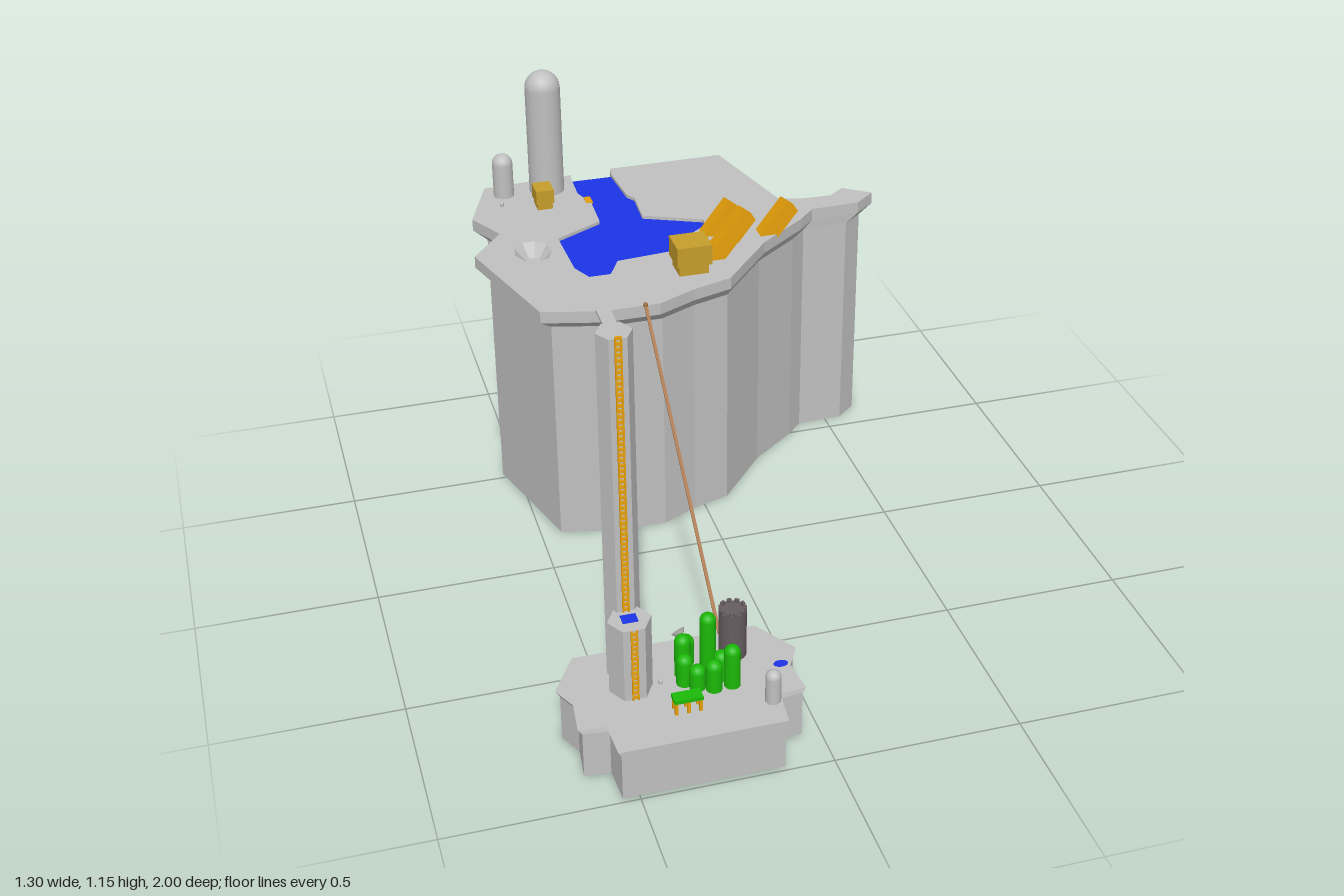
import * as THREE from 'three';

const mat = (name, color) => Object.assign(new THREE.MeshStandardMaterial({ color }), { name });

export function createModel() {
  const model = new THREE.Group();
  const stone = mat('stone grey', 0xc0c0c0);
  const blue = mat('water blue', 0x1c35ea);
  const gold = mat('gold', 0xe8a00a);
  const ochre = mat('ochre', 0xc69e2c);
  const green = mat('cactus green', 0x1cba08);
  const dark = mat('dark stone', 0x665d61);
  const brown = mat('rope brown', 0xa06a35);

  const add = (name, geo, material, x = 0, y = 0, z = 0, parent = model) => {
    const m = new THREE.Mesh(geo, material);
    m.name = name;
    m.position.set(x, y, z);
    parent.add(m);
    return m;
  };
  const box = (name, w, h, d, material, x, y, z, parent) =>
    add(name, new THREE.BoxGeometry(w, h, d), material, x, y, z, parent);
  const flat = (geo) => {
    const g = geo.toNonIndexed();
    g.computeVertexNormals();
    return g;
  };

  // Horizontal slab from an [x, z] outline; the underside may be scaled about a centre
  const slab = (name, pts, y0, y1, material, { taper = 1, centre = [0, 0], hole } = {}) => {
    const v = (p) => p.map(([x, z]) => new THREE.Vector2(x, -z));
    const shape = new THREE.Shape(v(pts));
    if (hole) shape.holes.push(new THREE.Path(v(hole)));
    const g = new THREE.ExtrudeGeometry(shape, { depth: y1 - y0, bevelEnabled: false });
    g.rotateX(-Math.PI / 2);
    const p = g.attributes.position;
    for (let i = 0; i < p.count; i++) {
      if (p.getY(i) < (y1 - y0) / 2) {
        p.setX(i, centre[0] + (p.getX(i) - centre[0]) * taper);
        p.setZ(i, centre[1] + (p.getZ(i) - centre[1]) * taper);
      }
    }
    g.computeVertexNormals();
    return add(name, g, material, 0, y0, 0);
  };
  const scaled = (pts, s, c) => pts.map(([x, z]) => [c[0] + (x - c[0]) * s, c[1] + (z - c[1]) * s]);

  // Round-topped column
  const column = (name, x, z, r, y0, y1, material) => {
    const pts = [new THREE.Vector2(r, 0)];
    for (let i = 0; i <= 8; i++) {
      const a = (i / 8) * Math.PI / 2;
      pts.push(new THREE.Vector2(i === 8 ? 0 : r * Math.cos(a), y1 - y0 - r + r * Math.sin(a)));
    }
    return add(name, new THREE.LatheGeometry(pts, 20), material, x, y0, z);
  };

  // Plateau with a lake and its outflow cut into the top
  const edge = [[0.28, -1], [0.365, -0.645], [0.43, -0.624], [0.524, -0.62], [0.573, -0.66], [0.65, -0.603],
    [0.587, -0.55], [0.44, -0.545], [0.386, -0.49], [0.238, -0.376], [0.08, -0.19], [-0.037, -0.153],
    [-0.148, -0.1], [-0.31, -0.1], [-0.476, -0.143], [-0.587, -0.52], [-0.49, -0.645], [-0.55, -0.76],
    [-0.476, -0.963], [-0.2, -0.984]];
  const lake = [[-0.206, -0.957], [-0.21, -0.85], [-0.185, -0.77], [-0.19, -0.645], [-0.333, -0.566],
    [-0.328, -0.37], [-0.3, -0.307], [-0.238, -0.307], [-0.2, -0.38], [-0.03, -0.397], [0.03, -0.475],
    [0.106, -0.535], [0.106, -0.57], [-0.06, -0.645], [-0.053, -0.77], [-0.07, -0.8], [-0.08, -0.957]];
  const notched = [...edge, ...lake, [-0.074, -0.995]];
  const centre = [0.04, -0.55];
  const bowlEdge = Array.from({ length: 9 }, (_, i) => {
    const a = (i / 9) * Math.PI * 2;
    return [-0.42 + 0.055 * Math.sin(a), -0.505 + 0.068 * Math.cos(a)];
  });
  slab('plateauRim', notched, 0.715, 0.75, stone, { hole: bowlEdge });
  slab('plateauLip', notched, 0.685, 0.715, stone, { taper: 0.933, centre });
  slab('plateauBody', scaled([...edge, [-0.074, -0.995]], 0.933, centre), 0, 0.685, stone);
  slab('lakeWater', lake, 0.686, 0.74, blue);
  const bowl = add('bowl', flat(new THREE.LatheGeometry(
    [[0.055, 0.035], [0.022, 0.001], [0, 0.001]].map(([r, y]) => new THREE.Vector2(r, y)), 9)),
  stone, -0.42, 0.715, -0.505);
  bowl.scale.z = 0.068 / 0.055;
  box('footbridge', 0.02, 0.006, 0.04, gold, -0.19, 0.749, -0.795);

  // Domed silos
  column('largeSilo', -0.293, -0.907, 0.053, 0.75, 1.135, stone);
  column('smallSilo', -0.427, -0.902, 0.031, 0.75, 0.885, stone);
  column('marker', -0.448, -0.825, 0.006, 0.75, 0.765, stone);

  // Two-tier huts: [x, z, width, depth, base height, total height]
  for (const [x, z, w, d, b, h] of [[-0.327, -0.795, 0.054, 0.066, 0.02, 0.063], [-0.013, -0.275, 0.102, 0.092, 0.03, 0.09]]) {
    box('hutBase', w * 0.84, b, d * 0.84, ochre, x, 0.75 + b / 2, z);
    box('hutTop', w, h - b, d, ochre, x, 0.75 + (b + h) / 2, z);
  }

  // Leaning blocks sunk in the ground
  for (const [x, z] of [[0.128, -0.48], [0.153, -0.416], [0.289, -0.439], [0.089, -0.33]]) {
    box('leaningBlock', 0.048, 0.14, 0.05, gold, x, 0.777, z).rotation.z = -0.66;
  }

  // Rope down to the lower island
  const a = new THREE.Vector3(-0.19, 0.752, -0.1);
  const b = new THREE.Vector3(-0.19, 0.157, 0.62);
  const rope = box('rope', 0.009, a.distanceTo(b), 0.004, brown);
  rope.position.lerpVectors(a, b, 0.5);
  rope.quaternion.setFromUnitVectors(new THREE.Vector3(0, 1, 0), a.clone().sub(b).normalize());
  add('ropeKnot', new THREE.SphereGeometry(0.007, 10, 8), brown, a.x, a.y, a.z);

  // Lower island
  const isle = [[-0.58, 0.612], [-0.093, 0.612], [-0.018, 0.73], [-0.053, 0.795], [-0.043, 0.89], [-0.113, 0.897],
    [-0.123, 1], [-0.553, 1], [-0.558, 0.897], [-0.628, 0.89], [-0.618, 0.795], [-0.65, 0.73]];
  const isleCentre = [-0.336, 1];
  slab('islandRim', isle, 0.145, 0.157, stone, { taper: 0.965, centre: isleCentre });
  slab('islandBody', scaled(isle, 0.965, isleCentre), 0.013, 0.145, stone);
  const pond = add('pond', new THREE.CylinderGeometry(0.019, 0.019, 0.003, 16), blue, -0.075, 0.1565, 0.782);
  pond.scale.z = 0.7;

  // Six-sided tower with its lower annex and top ledge
  const facet = (name, r, y1, z) => add(name,
    flat(new THREE.CylinderGeometry(r, r, y1 - 0.157, 6, 1, false, Math.PI / 2)),
    stone, -0.463, (y1 + 0.157) / 2, z);
  facet('tower', 0.045, 1.14, 0.695);
  facet('towerAnnex', 0.056, 0.37, 0.767);
  box('towerLedge', 0.034, 0.006, 0.085, stone, -0.463, 1.137, 0.628);
  box('annexPool', 0.04, 0.003, 0.034, blue, -0.463, 0.3695, 0.766);

  // Ladders up both fronts
  for (const [y0, y1, z] of [[0.157, 0.37, 0.817], [0.37, 1.145, 0.736]]) {
    const ladder = new THREE.Group();
    ladder.name = 'ladder';
    model.add(ladder);
    for (const s of [-1, 1]) box('ladderRail', 0.004, y1 - y0, 0.006, gold, -0.463 + s * 0.007, (y0 + y1) / 2, z, ladder);
    for (let y = y0 + 0.008; y < y1; y += 0.015) box('ladderRung', 0.012, 0.008, 0.005, gold, -0.463, y, z, ladder);
  }

  // Cactus grove: [x, z, top]
  for (const [x, z, top] of [[-0.255, 0.738, 0.322], [-0.325, 0.752, 0.28], [-0.217, 0.827, 0.28], [-0.265, 0.83, 0.245],
    [-0.303, 0.812, 0.225], [-0.33, 0.787, 0.245], [-0.304, 0.706, 0.24], [-0.235, 0.792, 0.24]]) {
    column('cactus', x, z, 0.021, 0.157, top, green);
  }

  // Green-topped table
  box('tableTop', 0.074, 0.01, 0.036, green, -0.35, 0.196, 0.887);
  for (const x of [-0.381, -0.35, -0.319]) {
    for (const z of [0.874, 0.9]) box('tableLeg', 0.008, 0.036, 0.008, gold, x, 0.174, z);
  }

  // Dark round keep with battlements
  add('keep', new THREE.CylinderGeometry(0.036, 0.036, 0.138, 20), dark, -0.18, 0.226, 0.705);
  for (let i = 0; i < 10; i++) {
    const t = (i / 10) * Math.PI * 2;
    box('battlement', 0.012, 0.01, 0.008, dark, -0.18 + 0.032 * Math.sin(t), 0.299, 0.705 + 0.032 * Math.cos(t)).rotation.y = t;
  }
  column('islandSilo', -0.137, 0.914, 0.02, 0.157, 0.25, stone);

  // Small tilted dish and marker stones
  add('dishStand', new THREE.CylinderGeometry(0.005, 0.009, 0.035, 8), stone, -0.301, 0.174, 0.646);
  const dish = add('dish', new THREE.CylinderGeometry(0.02, 0.006, 0.018, 10), stone, -0.303, 0.197, 0.642);
  dish.rotation.set(-0.6, 0, 0.4);
  for (const x of [-0.388, -0.27]) column('markerStone', x, 0.773, 0.005, 0.157, 0.17, stone);

  return model;
}
